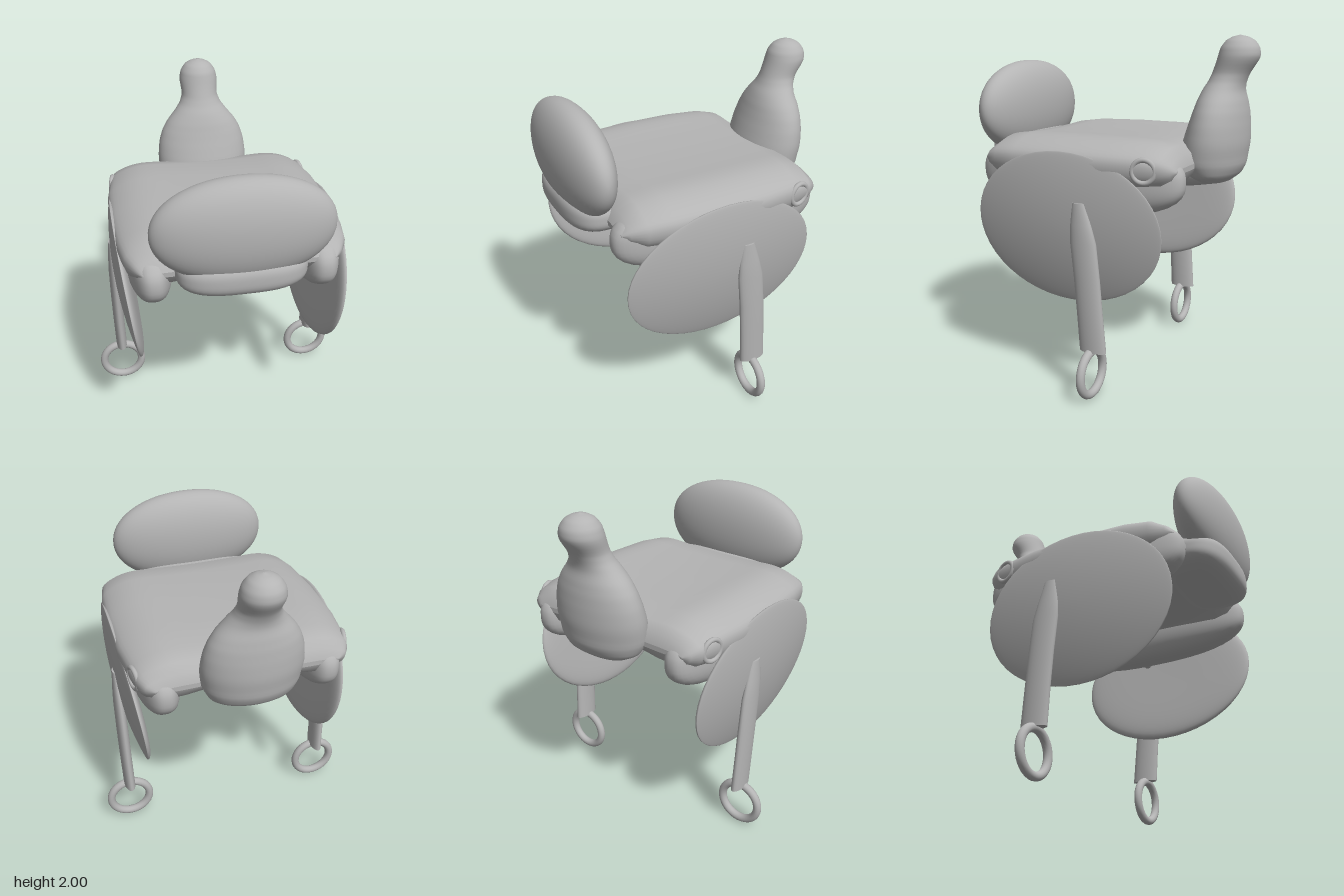
import * as THREE from 'three';
import { mergeVertices } from 'three/addons/utils/BufferGeometryUtils.js';

const V = (x, y, z) => new THREE.Vector3(x, y, z);

// Moves every point of a unit sphere by a rule, then smooths it
function moulded(rule) {
  let geo = new THREE.SphereGeometry(1, 48, 32).rotateZ(Math.PI / 2);
  geo.deleteAttribute('uv');
  geo.deleteAttribute('normal');
  const pos = geo.attributes.position;
  const d = V(0, 0, 0);
  for (let i = 0; i < pos.count; i++) {
    const p = rule(d.fromBufferAttribute(pos, i).normalize());
    pos.setXYZ(i, p.x, p.y, p.z);
  }
  geo = mergeVertices(geo, 1e-5);
  geo.computeVertexNormals();
  return geo;
}

// Rounded block: power 2 is an ellipsoid, higher is boxier
function pebble(c, r, power = 2) {
  return moulded((d) => {
    const k = Math.pow(
      Math.abs(d.x) ** power + Math.abs(d.y) ** power + Math.abs(d.z) ** power, -1 / power);
    return V(c[0] + d.x * k * r[0], c[1] + d.y * k * r[1], c[2] + d.z * k * r[2]);
  });
}

// Skin over closed rings; the caps have their own corners so the ends stay crisp
function loft(rings) {
  const n = rings[0].length;
  const pts = rings.flat();
  const index = [];
  for (let i = 0; i < rings.length - 1; i++) {
    for (let j = 0; j < n; j++) {
      const a = i * n + j, b = i * n + (j + 1) % n;
      index.push(a, b, a + n, b, b + n, a + n);
    }
  }
  for (const end of [0, rings.length - 1]) {
    const ring = rings[end];
    const base = pts.length;
    const mid = V(0, 0, 0);
    ring.forEach((p) => mid.addScaledVector(p, 1 / n));
    pts.push(...ring, mid);
    for (let j = 0; j < n; j++) {
      const a = base + j, b = base + (j + 1) % n;
      if (end === 0) index.push(base + n, b, a);
      else index.push(base + n, a, b);
    }
  }
  const geo = new THREE.BufferGeometry().setFromPoints(pts);
  geo.setIndex(index);
  geo.computeVertexNormals();
  return geo;
}

// Horizontal ellipse ring
function ellipse(y, cx, cz, rx, rz, n) {
  return Array.from({ length: n }, (_, i) => {
    const a = (i / n) * Math.PI * 2;
    return V(cx + rx * Math.sin(a), y, cz + rz * Math.cos(a));
  });
}

export function createModel() {
  const model = new THREE.Group();
  const grey = new THREE.MeshStandardMaterial({ color: 0xb4b4b4 });
  grey.name = 'saddle grey';
  const add = (name, geo) => {
    const mesh = new THREE.Mesh(geo, grey);
    mesh.name = name;
    model.add(mesh);
    return mesh;
  };

  // Seat: one cross-section, shrunk towards both ends
  const half = [[0.28, 1.2], [0.42, 1.17], [0.56, 1.18], [0.64, 1.26], [0.645, 1.36],
    [0.57, 1.42], [0.45, 1.455], [0.25, 1.45]];
  const outline = [[0, 1.2], ...half, [0, 1.445],
    ...half.slice().reverse().map(([x, y]) => [-x, y])];
  const section = new THREE.CatmullRomCurve3(outline.map(([x, y]) => V(x, y, 0)), true)
    .getPoints(72).slice(0, -1);
  const stations = [[-0.57, 0.8, 0.1], [-0.55, 0.87, 0.5], [-0.5, 0.92, 0.76],
    [-0.4, 0.95, 0.93], [-0.2, 0.99, 0.99], [0.1, 1, 1], [0.38, 0.97, 0.97],
    [0.52, 0.93, 0.86], [0.6, 0.86, 0.55], [0.64, 0.8, 0.1]];
  add('seat', loft(stations.map(([z, sx, sy]) =>
    section.map((p) => V(p.x * sx, 1.3 + (p.y - 1.3) * sy, z)))));

  // Broad front rest and its neck
  add('frontRest', pebble([0, 1.56, 0.68], [0.485, 0.29, 0.15], 2.1));
  add('frontRestNeck', pebble([0, 1.31, 0.6], [0.355, 0.115, 0.21], 3));

  // Rear bulb rising into a rounded horn
  const hornProfile = [[1.19, -0.6, 0.17, 0.08], [1.23, -0.59, 0.24, 0.14],
    [1.3, -0.58, 0.275, 0.18], [1.4, -0.595, 0.285, 0.178], [1.5, -0.61, 0.275, 0.163],
    [1.58, -0.62, 0.25, 0.147], [1.64, -0.625, 0.215, 0.133], [1.7, -0.632, 0.165, 0.115],
    [1.75, -0.65, 0.128, 0.105], [1.8, -0.672, 0.112, 0.105], [1.88, -0.71, 0.118, 0.116],
    [1.93, -0.717, 0.108, 0.108], [1.97, -0.718, 0.08, 0.08], [1.99, -0.717, 0.045, 0.045],
    [2, -0.715, 0.005, 0.005]];
  const hornCurve = (k) => new THREE.CatmullRomCurve3(
    hornProfile.map((p) => (k ? V(p[2], p[3], 0) : V(0, p[0], p[1]))));
  const centres = hornCurve(0), radii = hornCurve(1);
  add('rearHorn', loft(Array.from({ length: 57 }, (_, i) => {
    const c = centres.getPoint(i / 56), r = radii.getPoint(i / 56);
    return ellipse(c.y, 0, c.z, r.x, r.y, 40);
  })));

  // Crossbar under the seat
  const bar = new THREE.CatmullRomCurve3([V(-0.62, 1.065, -0.06), V(-0.4, 1.085, -0.06),
    V(0, 1.125, -0.06), V(0.4, 1.085, -0.06), V(0.62, 1.065, -0.06)]);
  add('crossbar', new THREE.TubeGeometry(bar, 32, 0.028, 12));

  for (const [side, s] of [['left', 1], ['right', -1]]) {
    // Padded roll under the seat edge
    add(side + 'Roll', pebble([s * 0.465, 1.235, 0.04], [0.14, 0.205, 0.635], 2.6));

    // Oval side flap, nearly flat outside and swollen inside
    add(side + 'Flap', moulded((d) => {
      const y = 0.955 + 0.435 * d.y;
      const out = 0.652 - 0.25 * (1.2 - y) ** 2 - 0.05 * d.z * d.z;
      const n = s * d.x;
      return V(s * (out + n * (n > 0 ? 0.012 : 0.085)), y, 0.065 + 0.585 * d.z);
    }));

    // Stirrup strap: y, centre x, centre z, half thickness, half width
    const strap = [[0.28, 0.64, -0.135, 0.034, 0.082], [0.5, 0.645, -0.12, 0.034, 0.08],
      [0.7, 0.648, -0.105, 0.034, 0.08], [0.9, 0.65, -0.085, 0.032, 0.08],
      [1.0, 0.65, -0.072, 0.028, 0.064], [1.12, 0.65, -0.06, 0.02, 0.038]];
    add(side + 'StirrupStrap', loft(strap.map(([y, x, z, rx, rz]) =>
      ellipse(y, s * x, z, rx, rz, 20))));

    // Stirrup ring
    add(side + 'StirrupRing', new THREE.TorusGeometry(0.125, 0.025, 14, 40))
      .position.set(s * 0.64, 0.152, -0.125);

    // Small tie ring near the rear
    const tie = add(side + 'TieRing', new THREE.TorusGeometry(0.061, 0.014, 12, 32));
    tie.position.set(s * 0.603, 1.31, -0.42);
    tie.rotation.y = Math.PI / 2 + s * 0.2;
  }
  return model;
}
